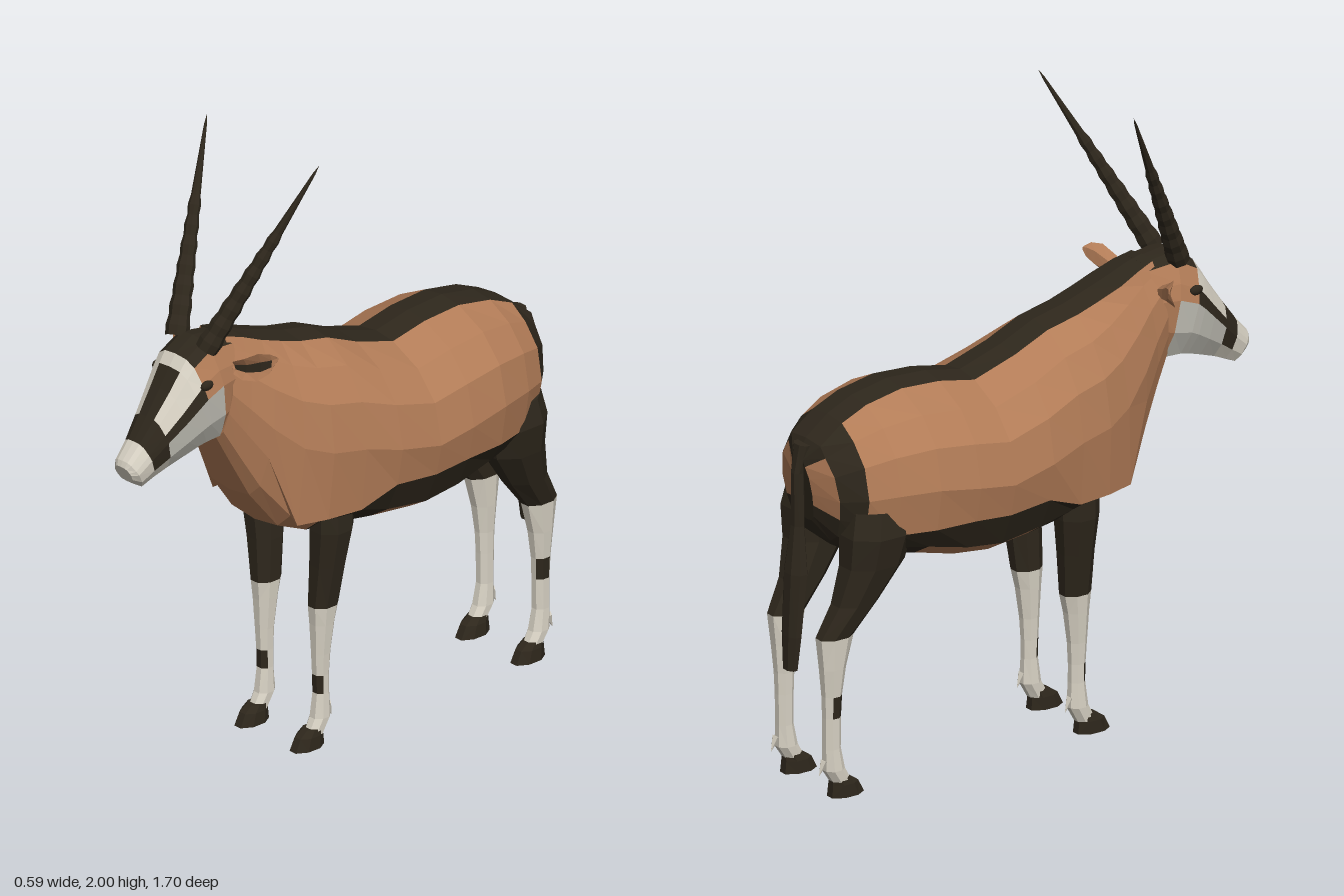
import * as THREE from 'three';

const makeMat = (name, color) => {
  const m = new THREE.MeshStandardMaterial({ color });
  m.name = name;
  return m;
};
const hide = makeMat('tan hide', 0xb27c57);
const dark = makeMat('dark markings', 0x2e271c);
const cream = makeMat('cream', 0xd8d2c4);
const cheek = makeMat('grey cheek', 0xc2c0b6);

const V = (x, y, z) => new THREE.Vector3(x, y, z);

// Flat-shaded closed loft; paint(segment, side) picks the material, segment -1 and n are the caps
function loft(name, rings, paint) {
  const buckets = new Map();
  let volume = 0;
  const tri = (m, a, b, c) => {
    if (!buckets.has(m)) buckets.set(m, []);
    buckets.get(m).push([a, b, c]);
    volume += a.dot(b.clone().cross(c));
  };
  const n = rings[0].length, last = rings.length - 1;
  for (let i = 0; i < last; i++) {
    for (let j = 0; j < n; j++) {
      const k = (j + 1) % n, m = paint(i, j);
      tri(m, rings[i][j], rings[i][k], rings[i + 1][k]);
      tri(m, rings[i][j], rings[i + 1][k], rings[i + 1][j]);
    }
  }
  for (const [r, s] of [[rings[0], -1], [rings[last], last]]) {
    const mid = r.reduce((sum, p) => sum.add(p), V(0, 0, 0)).divideScalar(n);
    for (let j = 0; j < n; j++) {
      const a = r[j], b = r[(j + 1) % n];
      if (s < 0) tri(paint(s, j), mid, b, a);
      else tri(paint(s, j), mid, a, b);
    }
  }
  const pos = [], mats = [], geo = new THREE.BufferGeometry();
  for (const [m, tris] of buckets) {
    geo.addGroup(pos.length / 3, tris.length * 3, mats.length);
    mats.push(m);
    for (const [a, b, c] of tris) {
      for (const p of volume > 0 ? [a, b, c] : [a, c, b]) pos.push(p.x, p.y, p.z);
    }
  }
  geo.setAttribute('position', new THREE.Float32BufferAttribute(pos, 3));
  geo.computeVertexNormals();
  const mesh = new THREE.Mesh(geo, mats);
  mesh.name = name;
  return mesh;
}

// Symmetric section from a half outline of [x, v], v running from bottom (0) to top (1)
function section([zt, yt, zb, yb], half) {
  const pts = half.map(([x, v]) => V(x, yb + (yt - yb) * v, zb + (zt - zb) * v));
  const mirrored = pts.slice(1, -1).reverse().map((p) => V(-p.x, p.y, p.z));
  return [...pts, ...mirrored];
}

// Horizontal elliptical rings from rows of [y, x, z, radiusX, radiusZ]
const column = (rows, side, n = 8) => rows.map(([y, x, z, rx, rz]) =>
  Array.from({ length: n }, (_, j) => {
    const a = ((j + 0.5) / n) * Math.PI * 2;
    return V(side * (x + rx * Math.sin(a)), y, z + rz * Math.cos(a));
  }));

function makeBody() {
  // zTop, yTop, zBottom, yBottom, half width
  const rows = [
    [-0.8, 1.07, -0.765, 0.86, 0.05], [-0.77, 1.125, -0.73, 0.8, 0.15],
    [-0.69, 1.185, -0.68, 0.76, 0.212], [-0.6, 1.225, -0.59, 0.74, 0.252],
    [-0.47, 1.25, -0.47, 0.72, 0.286], [-0.33, 1.243, -0.33, 0.685, 0.294],
    [-0.2, 1.217, -0.2, 0.67, 0.29], [-0.05, 1.265, -0.05, 0.685, 0.28],
    [0.07, 1.318, 0.08, 0.7, 0.257], [0.18, 1.342, 0.2, 0.71, 0.237],
    [0.26, 1.368, 0.3, 0.75, 0.203], [0.34, 1.395, 0.4, 0.88, 0.165],
    [0.41, 1.422, 0.46, 1.0, 0.132], [0.47, 1.438, 0.51, 1.1, 0.11],
  ];
  const rings = rows.map((r) => {
    const [zt, yt, , yb, w] = r, h = yt - yb;
    const line = zt < 0.06 ? 0.84 : 0.79;
    const flank = yb < 0.76 ? Math.min(0.29, (line - yb) / h) : 0.29;
    return section(r, [[0, 0], [w * 0.5, 0.02], [w * 0.76, 0.1], [w * 0.92, flank], [w, 0.48],
      [w * 0.9, 0.72], [w * 0.64, 0.88], [Math.min(0.075, w * 0.5), 0.98], [0, 1]]);
  });
  return loft('body', rings, (i, j) => {
    const k = j < 8 ? j : 15 - j;
    if (i < 0 || k === 7 || i === 1) return dark;      // dorsal stripe and rump band
    if (i === 0) return k >= 3 && k <= 5 ? hide : dark; // rump patches
    if (i < 9 && k === 2) return dark;                 // flank band
    if (i < 9 && k < 2) return i >= 4 && i <= 6 ? hide : dark;
    return hide;
  });
}

function makeHead() {
  const rows = [
    [0.44, 1.43, 0.45, 1.13, 0.1], [0.555, 1.446, 0.5, 1.1, 0.116], [0.625, 1.405, 0.56, 1.1, 0.118],
    [0.65, 1.37, 0.59, 1.095, 0.113], [0.69, 1.31, 0.64, 1.08, 0.1], [0.745, 1.235, 0.7, 1.06, 0.08],
    [0.797, 1.168, 0.75, 1.04, 0.062], [0.843, 1.118, 0.79, 1.022, 0.052], [0.85, 1.1, 0.825, 1.045, 0.036],
  ];
  const rings = rows.map((r) => section(r, [[0, 0], [0.6, 0.05], [0.92, 0.3], [1, 0.6], [0.9, 0.74],
    [0.66, 0.92], [0.4, 0.985], [0, 1]].map(([x, v]) => [x * r[4], v])));
  return loft('head', rings, (i, j) => {
    const k = j < 7 ? j : 13 - j;
    if (i < 1) return k >= 5 ? dark : hide;
    if (i === 1) return k >= 5 ? dark : k >= 3 ? hide : cheek;
    if (i === 5) return k >= 2 ? dark : cream;         // muzzle band
    if (i > 5) return cream;
    if (k === 3 || (k === 6 && i > 2)) return dark;    // eye stripe and blaze
    return k > 3 ? cream : cheek;
  });
}

// Ringed tapering horn
function makeHorn(side) {
  const base = V(0.065, 1.42, 0.56), tip = V(0.248, 2, 0.265);
  const axis = tip.clone().sub(base), len = axis.length(), pts = [];
  for (let i = 0; i < 22; i++) {
    const t = i / 22;
    pts.push(new THREE.Vector2(0.032 * (1 - t) + 0.003 + (i % 2 && i < 15 ? 0.004 : 0), t * len));
  }
  pts.push(new THREE.Vector2(0.0001, len));
  const geo = new THREE.LatheGeometry(pts, 8).toNonIndexed();
  geo.computeVertexNormals();
  const horn = new THREE.Mesh(geo, dark);
  horn.name = side > 0 ? 'leftHorn' : 'rightHorn';
  horn.position.set(side * base.x, base.y, base.z);
  axis.x *= side;
  horn.quaternion.setFromUnitVectors(V(0, 1, 0), axis.normalize());
  return horn;
}

// Leaf-shaped cupped ear: x, y, z, half height, depth
function makeEar(side) {
  const rows = [[0.095, 1.345, 0.475, 0.018, 0.016], [0.14, 1.352, 0.468, 0.034, 0.026],
    [0.185, 1.368, 0.45, 0.045, 0.026], [0.213, 1.382, 0.43, 0.032, 0.016], [0.224, 1.395, 0.415, 0.008, 0.005]];
  const rings = rows.map(([x, y, z, h, d]) => [[0, 1, 0.3], [0, 0.3, -0.2], [0, -0.4, -0.1], [0, -1, 0.5],
    [0, -0.3, -0.9], [0, 0.6, -0.8]].map(([, a, b]) => V(side * x, y + a * h, z + b * d)));
  return loft(side > 0 ? 'leftEar' : 'rightEar', rings, (i, j) => (j === 1 && i < 3 ? dark : hide));
}

function makeLeg(name, side, rows, hoofZ, patchTop, patchSides) {
  const leg = new THREE.Group();
  leg.name = name;
  leg.add(loft('shank', column(rows, side), (i, j) => {
    if (i < 0 || rows[i][0] > 0.53 || (i < 3 && rows[i][0] > 0.47)) return dark;
    return rows[i][0] === patchTop && patchSides.includes(j) ? dark : cream;
  }));
  // Hoof with sloping front
  leg.add(loft('hoof', column([[0.06, 0.122, hoofZ - 0.022, 0.028, 0.034],
    [0.04, 0.122, hoofZ - 0.008, 0.034, 0.05], [0, 0.122, hoofZ, 0.037, 0.063]], side), () => dark));
  // Dewclaws behind the fetlock
  const claw = new THREE.Mesh(new THREE.ConeGeometry(0.014, 0.05, 5).toNonIndexed(), cream);
  claw.geometry.computeVertexNormals();
  claw.name = 'dewclaw';
  claw.position.set(side * 0.125, 0.1, hoofZ - 0.09);
  claw.rotation.x = Math.PI + 0.4;
  leg.add(claw);
  return leg;
}

export function createModel() {
  const model = new THREE.Group();
  model.name = 'antelope';
  model.add(makeBody(), makeHead());

  // y, x, z, radiusX, radiusZ
  const fore = [[0.82, 0.15, 0.12, 0.065, 0.075], [0.72, 0.15, 0.123, 0.066, 0.072],
    [0.6, 0.138, 0.128, 0.056, 0.06], [0.46, 0.126, 0.135, 0.042, 0.052], [0.4, 0.125, 0.139, 0.037, 0.042],
    [0.3, 0.124, 0.143, 0.029, 0.032], [0.23, 0.123, 0.143, 0.026, 0.028], [0.17, 0.123, 0.142, 0.026, 0.027],
    [0.09, 0.123, 0.145, 0.031, 0.035], [0.04, 0.123, 0.172, 0.028, 0.034]];
  const hind = [[0.92, 0.145, -0.61, 0.09, 0.11], [0.84, 0.152, -0.618, 0.098, 0.12],
    [0.74, 0.147, -0.63, 0.083, 0.107], [0.62, 0.135, -0.685, 0.06, 0.078], [0.52, 0.126, -0.753, 0.042, 0.064],
    [0.42, 0.125, -0.76, 0.036, 0.044], [0.33, 0.124, -0.762, 0.029, 0.033], [0.26, 0.123, -0.762, 0.027, 0.03],
    [0.16, 0.123, -0.762, 0.027, 0.029], [0.09, 0.123, -0.755, 0.031, 0.037], [0.04, 0.123, -0.725, 0.028, 0.034]];
  for (const side of [1, -1]) {
    const label = side > 0 ? 'left' : 'right';
    model.add(makeHorn(side), makeEar(side));
    model.add(makeLeg(label + 'FrontLeg', side, fore, 0.198, 0.23, [0, 6, 7]));
    model.add(makeLeg(label + 'HindLeg', side, hind, -0.71, 0.33, [0, 1]));
    const eye = new THREE.Mesh(new THREE.SphereGeometry(0.02, 8, 6), dark);
    eye.name = label + 'Eye';
    eye.position.set(side * 0.107, 1.325, 0.595);
    eye.scale.set(0.6, 0.8, 1.3);
    model.add(eye);
  }

  // Tail with tuft
  const tail = [[1.11, 0, -0.78, 0.035, 0.025], [1.02, 0, -0.8, 0.022, 0.02], [0.85, 0, -0.8, 0.025, 0.02],
    [0.7, 0, -0.807, 0.046, 0.033], [0.5, 0, -0.822, 0.041, 0.025], [0.39, 0, -0.827, 0.03, 0.019]];
  model.add(loft('tail', column(tail, 1), () => dark));
  return model;
}
